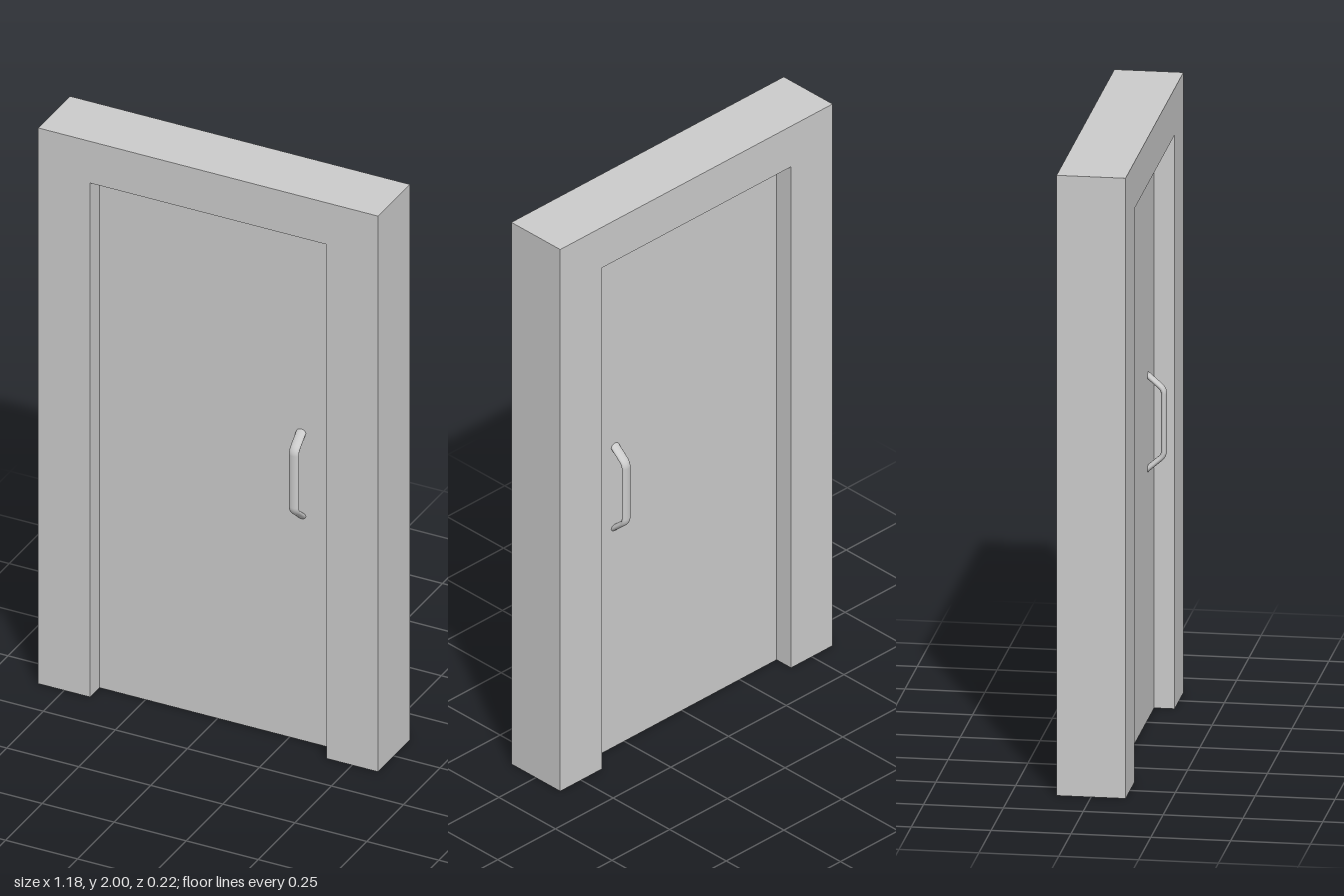
import * as THREE from 'three';

const W = 0.59, H = 2, D = 0.108;              // frame half width, height, half depth
const OPEN_W = 0.41, OPEN_H = 1.85;            // opening half width, height
const DOOR_D = 0.044;                          // door half thickness

const material = new THREE.MeshStandardMaterial({ color: 0xcccccc });

function mesh(name, geometry) {
  const m = new THREE.Mesh(geometry, material);
  m.name = name;
  return m;
}

// Upside-down U: two jambs and a header in one piece
function makeFrame() {
  const outline = [
    [-W, 0], [-OPEN_W, 0], [-OPEN_W, OPEN_H], [OPEN_W, OPEN_H],
    [OPEN_W, 0], [W, 0], [W, H], [-W, H],
  ].map(([x, y]) => new THREE.Vector2(x, y));
  const geometry = new THREE.ExtrudeGeometry(new THREE.Shape(outline), { depth: 2 * D, bevelEnabled: false });
  geometry.translate(0, 0, -D);
  return mesh('doorFrame', geometry);
}

// Bowed pull with an oval section: slanted legs, straight grip, rounded bends
function makeHandle(name) {
  const p = (y, z) => new THREE.Vector3(0, y, z);
  const half = 0.15, grip = 0.107, out = 0.093, inside = DOOR_D - 0.012;
  const legIn = p(half + 0.01, inside);
  const bend = p(grip, out);
  const legOut = bend.clone().lerp(legIn, 0.2);
  const flip = (v) => p(-v.y, v.z);

  const path = new THREE.CurvePath();
  path.add(new THREE.LineCurve3(legIn, legOut));
  path.add(new THREE.QuadraticBezierCurve3(legOut, bend, p(grip - 0.014, out)));
  path.add(new THREE.LineCurve3(p(grip - 0.014, out), p(0.014 - grip, out)));
  path.add(new THREE.QuadraticBezierCurve3(p(0.014 - grip, out), flip(bend), flip(legOut)));
  path.add(new THREE.LineCurve3(flip(legOut), flip(legIn)));

  const geometry = new THREE.TubeGeometry(path, 80, 0.009, 20, false);
  geometry.scale(1.85, 1, 1);
  const handle = mesh(name, geometry);
  handle.position.set(0.29, 0.958, 0);
  return handle;
}

export function createModel() {
  const model = new THREE.Group();
  model.name = 'door';

  model.add(makeFrame());

  // Plain door leaf, recessed equally on both sides
  const leaf = mesh('doorLeaf', new THREE.BoxGeometry(2 * OPEN_W, OPEN_H, 2 * DOOR_D));
  leaf.position.y = OPEN_H / 2;
  model.add(leaf);

  // One handle on each face, at the same edge of the leaf
  const back = makeHandle('backHandle');
  back.rotation.y = Math.PI;
  model.add(makeHandle('frontHandle'), back);

  return model;
}
